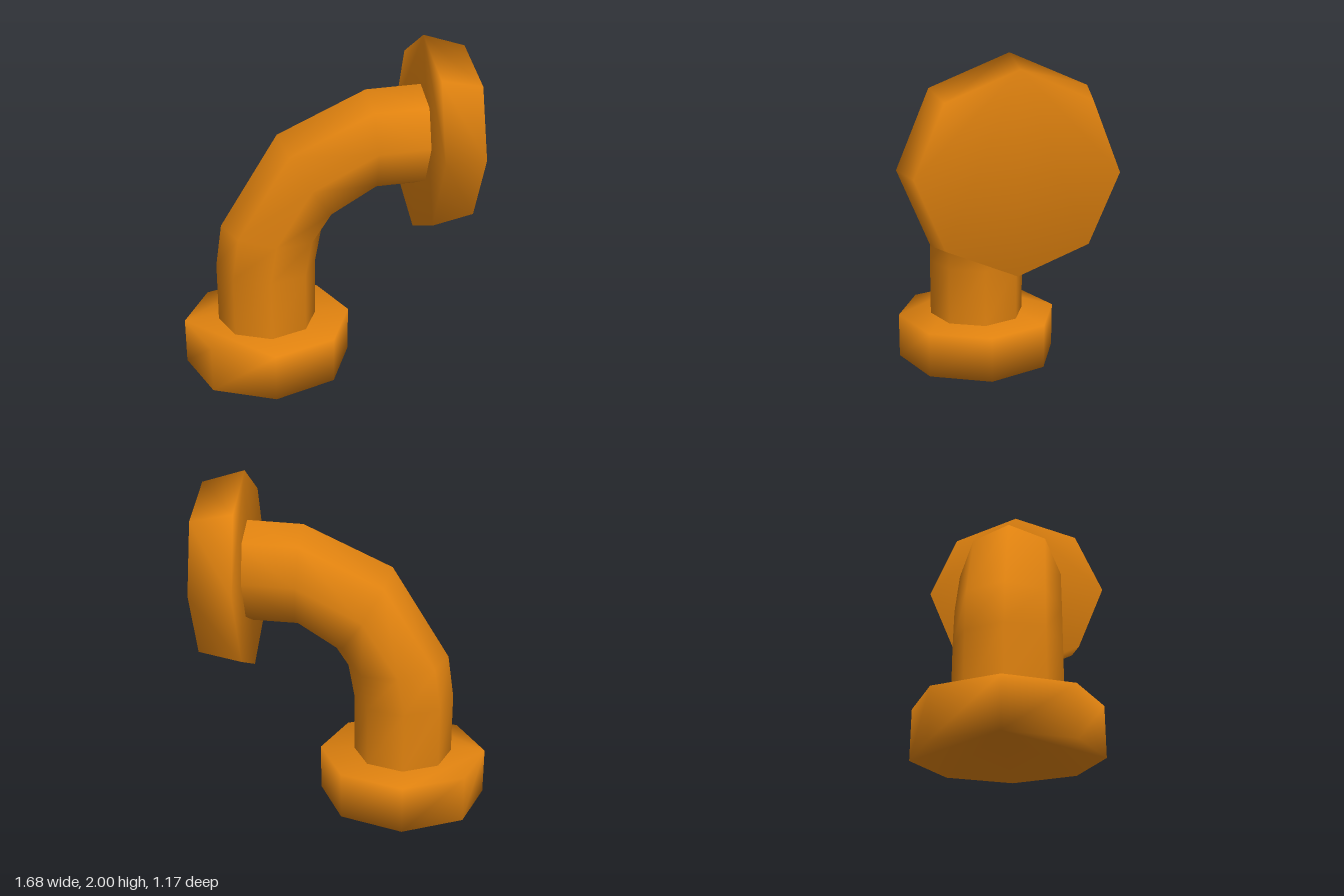
import * as THREE from 'three';

const SIDES = 8;

// Lofts octagonal rings; each ring is [outerX, outerY, innerX, innerY, halfDepth]
function loft(rings, capped) {
  const positions = [];
  const index = [];
  for (const [ox, oy, ix, iy, depth] of rings) {
    for (let k = 0; k < SIDES; k++) {
      const a = (k / SIDES) * Math.PI * 2;
      const c = Math.cos(a) / 2;
      positions.push(
        (ox + ix) / 2 + (ox - ix) * c,
        (oy + iy) / 2 + (oy - iy) * c,
        depth * Math.sin(a)
      );
    }
  }
  for (let i = 0; i < rings.length - 1; i++) {
    for (let k = 0; k < SIDES; k++) {
      const n = (k + 1) % SIDES;
      const a = i * SIDES + k, b = i * SIDES + n;
      index.push(a, b, b + SIDES, a, b + SIDES, a + SIDES);
    }
  }
  if (capped) {
    const last = (rings.length - 1) * SIDES;
    for (let k = 1; k < SIDES - 1; k++) {
      index.push(0, k + 1, k);
      index.push(last, last + k, last + k + 1);
    }
  }
  const geometry = new THREE.BufferGeometry();
  geometry.setAttribute('position', new THREE.Float32BufferAttribute(positions, 3));
  geometry.setIndex(index);
  geometry.computeVertexNormals(); // shared corners keep the shading smooth
  return geometry;
}

export function createModel() {
  const group = new THREE.Group();
  group.name = 'pipeElbow';

  const orange = new THREE.MeshStandardMaterial({ color: 0xe0820f });
  orange.name = 'orange';
  const pipeOrange = orange;

  const add = (name, rings, capped) => {
    const mesh = new THREE.Mesh(loft(rings, capped), pipeOrange);
    mesh.name = name;
    group.add(mesh);
  };

  // Flat collar on the ground
  add('baseFlange', [
    [-0.842, 0, 0.18, 0, 0.511],
    [-0.842, 0.28, 0.18, 0.28, 0.511],
  ], true);

  // Bent pipe, from the base up and round to the side
  add('bentPipe', [
    [-0.633, 0.27, -0.03, 0.27, 0.303],
    [-0.633, 0.645, -0.03, 0.635, 0.303],
    [-0.595, 0.9, 0.007, 0.835, 0.303],
    [-0.252, 1.448, 0.078, 0.943, 0.303],
    [0.265, 1.696, 0.31, 1.096, 0.303],
    [0.6, 1.717, 0.59, 1.112, 0.303],
  ], false);

  // Tapered collar at the open end, tilted very slightly
  add('endFlange', [
    [0.594, 2.0, 0.578, 0.828, 0.587],
    [0.839, 1.933, 0.828, 0.885, 0.525],
  ], true);

  return group;
}
